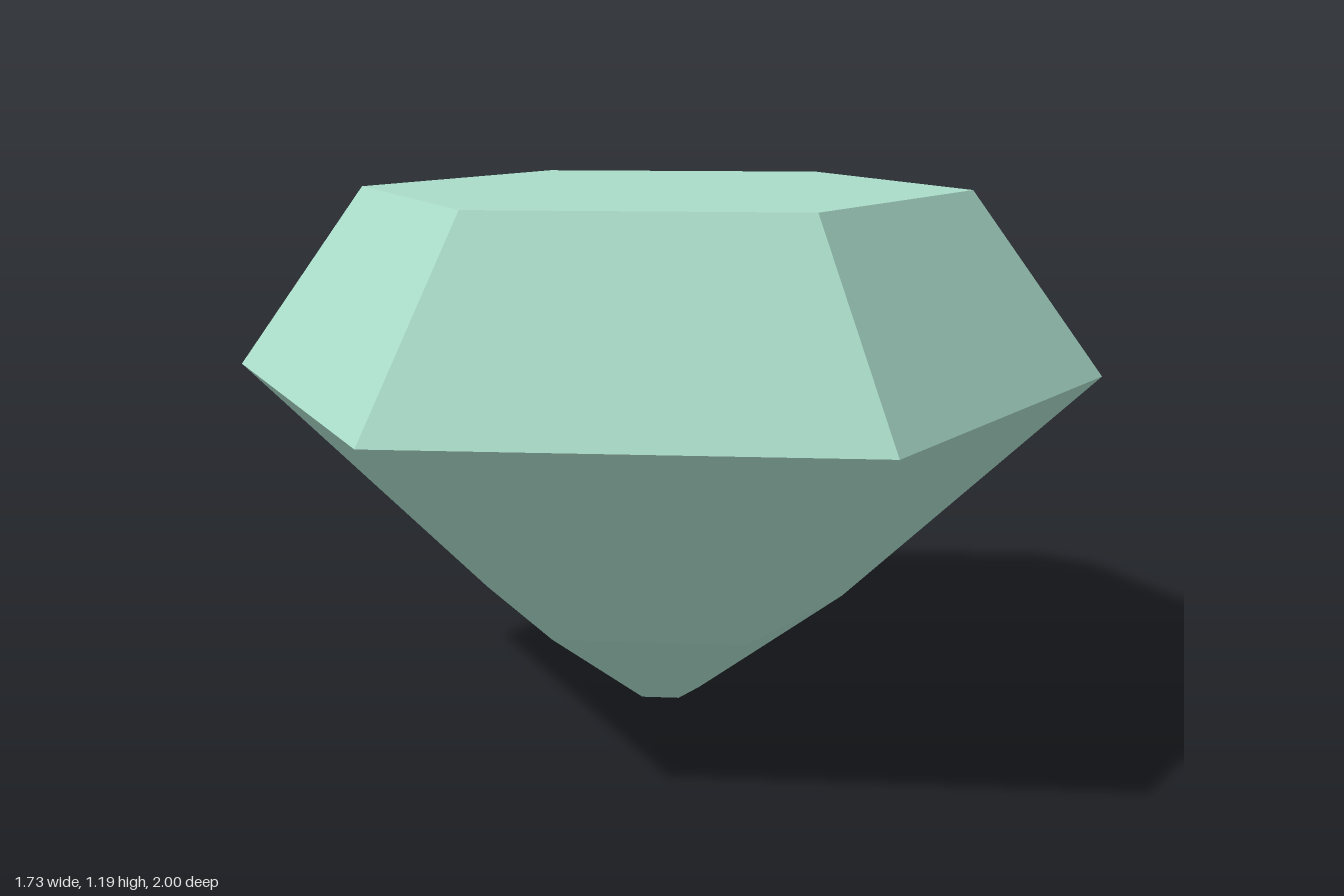
import * as THREE from 'three';

export function createModel() {
  const group = new THREE.Group();
  group.name = 'gem';

  const mint = new THREE.MeshStandardMaterial({ color: 0xaadbc9, flatShading: true });
  mint.name = 'mint';

  // Six-sided part turned from [radius, height] pairs listed bottom to top
  const addFacets = (name, profile) => {
    const points = profile.map(([r, y]) => new THREE.Vector2(r, y));
    const geometry = new THREE.LatheGeometry(points, 6).toNonIndexed();
    geometry.computeVertexNormals();
    const mesh = new THREE.Mesh(geometry, mint);
    mesh.name = name;
    group.add(mesh);
  };

  // Bevelled upper half, closed by the flat table
  addFacets('crown', [[1, 0.776], [0.694, 1.194], [0, 1.194]]);
  // Lower half, with a shallower band ending in a small flat tip
  addFacets('pavilion', [[0, 0], [0.087, 0], [0.425, 0.24], [1, 0.776]]);

  return group;
}
